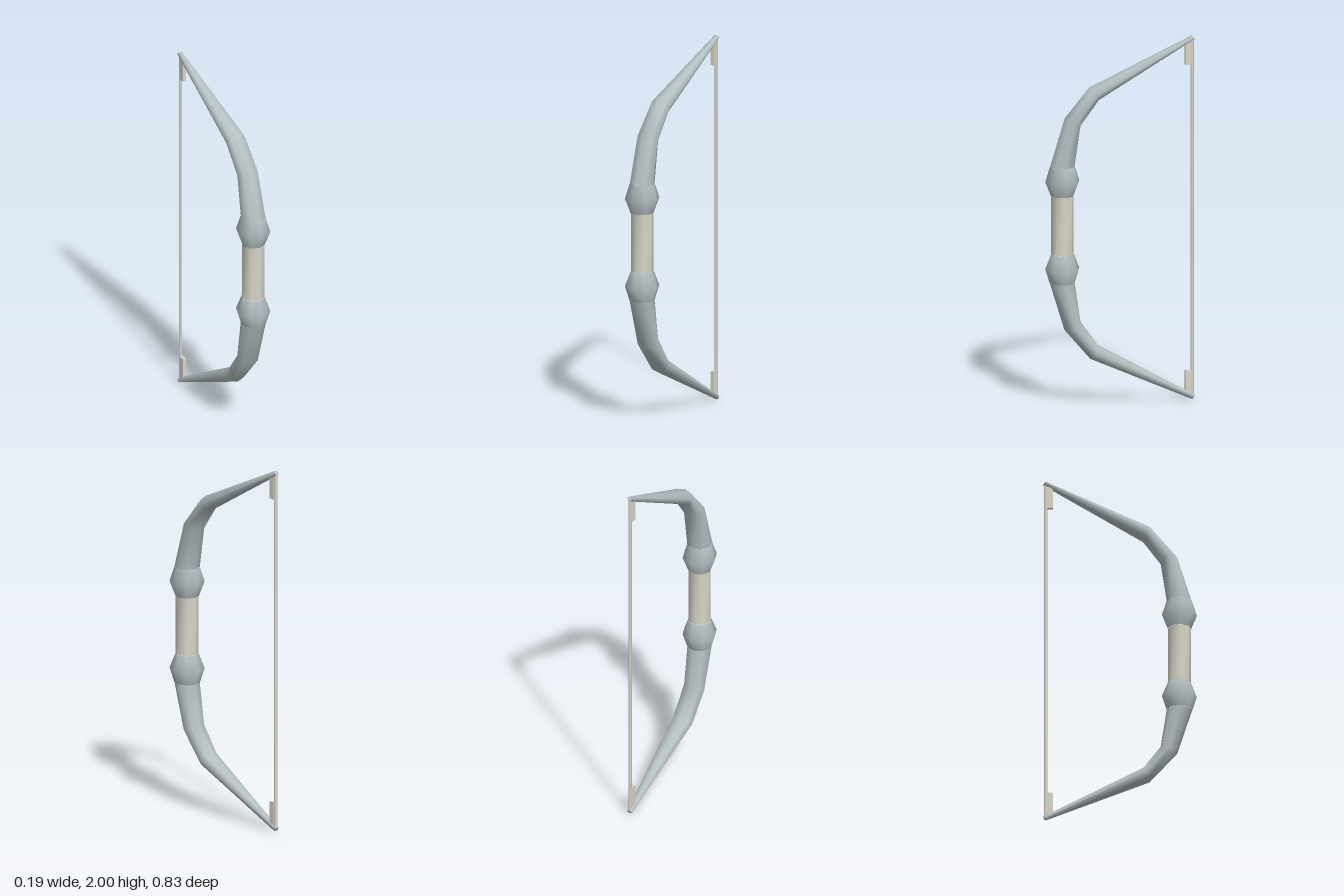
import * as THREE from 'three';

const SIDES = 8;

// Skin a row of octagonal rings; each ring is [front y, front z, back y, back z, half width in x].
// With mirror the part is flipped about y = 1.
function loft(rings, mirror, capEnd) {
  const pos = [], index = [];
  const fy = y => (mirror ? 2 - y : y);
  const tri = (a, b, c) => (mirror ? index.push(a, c, b) : index.push(a, b, c));
  const addRing = ([y0, z0, y1, z1, w]) => {
    for (let j = 0; j < SIDES; j++) {
      const a = (j / SIDES) * Math.PI * 2, s = Math.sin(a);
      pos.push(w * Math.cos(a), fy((y0 + y1) / 2 + (s * (y0 - y1)) / 2), (z0 + z1) / 2 + (s * (z0 - z1)) / 2);
    }
  };
  rings.forEach(addRing);
  for (let i = 0; i < rings.length - 1; i++) {
    for (let j = 0; j < SIDES; j++) {
      const k = (j + 1) % SIDES, a = i * SIDES, b = a + SIDES;
      tri(a + j, b + j, a + k);
      tri(a + k, b + j, b + k);
    }
  }
  if (capEnd) {
    const base = pos.length / 3;
    addRing(rings[rings.length - 1]);
    for (let j = 1; j < SIDES - 1; j++) tri(base, base + j + 1, base + j);
  }
  const g = new THREE.BufferGeometry();
  g.setAttribute('position', new THREE.Float32BufferAttribute(pos, 3));
  g.setIndex(index);
  g.computeVertexNormals();
  return g;
}

export function createModel() {
  const model = new THREE.Group();
  model.name = 'bow';
  const metal = new THREE.MeshStandardMaterial({ color: 0xb4bfc2 });
  metal.name = 'blue grey';
  const cream = new THREE.MeshStandardMaterial({ color: 0xd9d6c8 });
  cream.name = 'cream';

  const add = (name, geometry, material) => {
    const mesh = new THREE.Mesh(geometry, material);
    mesh.name = name;
    model.add(mesh);
    return mesh;
  };

  // Level ring around the grip axis
  const axisZ = 0.319;
  const level = (y, r) => [y, axisZ + r, y, axisZ - r, r];

  add('grip', loft([level(0.84, 0.061), level(1.16, 0.061)], false), cream);

  const collar = [level(1.16, 0.063), level(1.24, 0.094), level(1.32, 0.069)];
  const limb = [
    level(1.32, 0.068),
    [1.577, 0.308, 1.54, 0.218, 0.063],
    [1.746, 0.165, 1.672, 0.122, 0.06],
    [2.0, -0.398, 1.977, -0.413, 0.014],
  ];

  // Upper and lower halves
  for (const [side, mirror] of [['upper', false], ['lower', true]]) {
    add(side + 'Collar', loft(collar, mirror), metal);
    add(side + 'Limb', loft(limb, mirror, true), metal);

    // Thickened end of the string below the limb tip
    const end = add(side + 'StringEnd', new THREE.BoxGeometry(0.02, 0.125, 0.034), cream);
    end.position.set(0, mirror ? 0.0975 : 1.9025, -0.377);
  }

  // String
  const string = add('string', new THREE.CylinderGeometry(0.009, 0.009, 1.96, SIDES), cream);
  string.position.set(0, 1, -0.399);

  return model;
}
